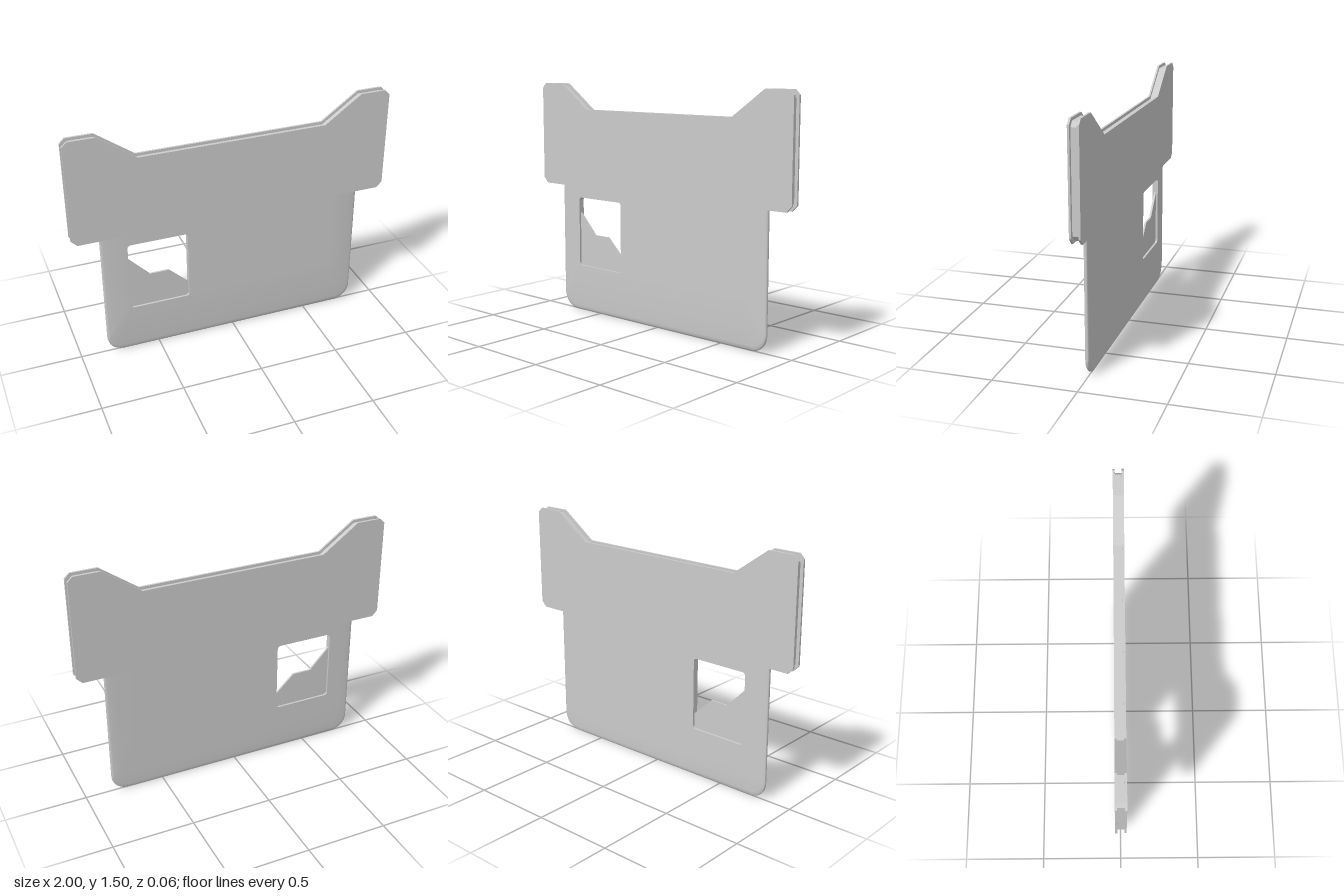
import * as THREE from 'three';

const material = new THREE.MeshStandardMaterial({ color: 0xcccccc });

// Closed shape from the right half of a mirrored outline (bottom to top)
function mirroredShape(half) {
  const left = half.map(([x, y]) => [-x, y]).reverse();
  return new THREE.Shape([...half, ...left].map(([x, y]) => new THREE.Vector2(x, y)));
}

// Slab between two depths
function slab(name, shape, zBack, zFront) {
  const geo = new THREE.ExtrudeGeometry(shape, { depth: zFront - zBack, bevelEnabled: false, curveSegments: 6 });
  geo.translate(0, 0, zBack);
  const mesh = new THREE.Mesh(geo, material);
  mesh.name = name;
  return mesh;
}

// U-shaped outline with rounded lower corners, from top left to top right
const bladeTop = 0.95;
function uOutline(w, bottom, r, segments = 12) {
  const pts = [];
  for (let i = 0; i <= segments; i++) {
    const a = Math.PI + (i / segments) * Math.PI / 2;
    pts.push([-w + r + Math.cos(a) * r, bottom + r + Math.sin(a) * r]);
  }
  const right = pts.map(([x, y]) => [-x, y]).reverse();
  return [[-w, bladeTop], ...pts, ...right, [w, bladeTop]];
}

function roundedHole(x0, y0, x1, y1, r) {
  const p = new THREE.Path();
  p.moveTo(x0 + r, y0);
  p.absarc(x0 + r, y1 - r, r, Math.PI, Math.PI / 2, true);
  p.absarc(x1 - r, y1 - r, r, Math.PI / 2, 0, true);
  p.absarc(x1 - r, y0 + r, r, 0, -Math.PI / 2, true);
  p.absarc(x0 + r, y0 + r, r, -Math.PI / 2, -Math.PI, true);
  return p;
}

// Tapered rim of the blade: rings from the back face, round the edge, to the front face
function bladeRim() {
  const rings = [ // side inset, bottom height, corner radius, z
    [0.15, 0.30, 0.015, -0.014], [0.06, 0.10, 0.07, -0.0135], [0.015, 0.025, 0.095, -0.011],
    [0.003, 0.006, 0.1, -0.008], [0, 0, 0.105, -0.003], [0, 0, 0.105, 0.006],
    [0.004, 0.01, 0.1, 0.012], [0.015, 0.03, 0.095, 0.0155], [0.06, 0.12, 0.07, 0.020],
    [0.11, 0.22, 0.04, 0.0233], [0.15, 0.30, 0.015, 0.024],
  ];
  const pos = [], index = [];
  let n = 0;
  for (const [dx, y, r, z] of rings) {
    const pts = uOutline(0.83 - dx, y, r);
    n = pts.length;
    for (const [px, py] of pts) pos.push(px, py, z);
  }
  for (let i = 0; i < rings.length - 1; i++) {
    for (let j = 0; j < n - 1; j++) {
      const a = i * n + j, b = a + 1, d = a + n, c = d + 1;
      index.push(a, b, c, a, c, d);
    }
  }
  const geo = new THREE.BufferGeometry();
  geo.setAttribute('position', new THREE.Float32BufferAttribute(pos, 3));
  geo.setIndex(index);
  geo.computeVertexNormals();
  const mesh = new THREE.Mesh(geo, material);
  mesh.name = 'bladeRim';
  return mesh;
}

export function createModel() {
  const model = new THREE.Group();
  model.name = 'notchedPanel';

  // Head: two outer plates around a slightly smaller core
  const head = new THREE.Group();
  head.name = 'head';
  const plate = mirroredShape([[0.965, 0.83], [1, 0.865], [1, 1.465], [0.97, 1.495], [0.81, 1.495], [0.58, 1.33]]);
  const core = mirroredShape([[0.945, 0.842], [0.98, 0.875], [0.98, 1.45], [0.955, 1.478], [0.815, 1.478], [0.585, 1.313]]);
  head.add(
    slab('frontPlate', plate, 0.02, 0.032),
    slab('backPlate', plate, -0.032, -0.02),
    slab('core', core, -0.02, 0.02),
  );

  // Blade: flat middle with a window, surrounded by the tapered rim
  const blade = new THREE.Group();
  blade.name = 'blade';
  const middle = new THREE.Shape(uOutline(0.68, 0.30, 0.015).map(([x, y]) => new THREE.Vector2(x, y)));
  middle.holes.push(roundedHole(-0.67, 0.305, -0.295, 0.757, 0.02));
  blade.add(slab('bladeMiddle', middle, -0.014, 0.024), bladeRim());

  // Thin stepped panel filling the lower part of the window
  const filler = new THREE.Shape([
    [-0.675, 0.302], [-0.29, 0.302], [-0.29, 0.395], [-0.42, 0.518], [-0.54, 0.518], [-0.675, 0.66],
  ].map(([x, y]) => new THREE.Vector2(x, y)));
  blade.add(slab('windowPanel', filler, -0.001, 0.011));

  model.add(head, blade);
  return model;
}
